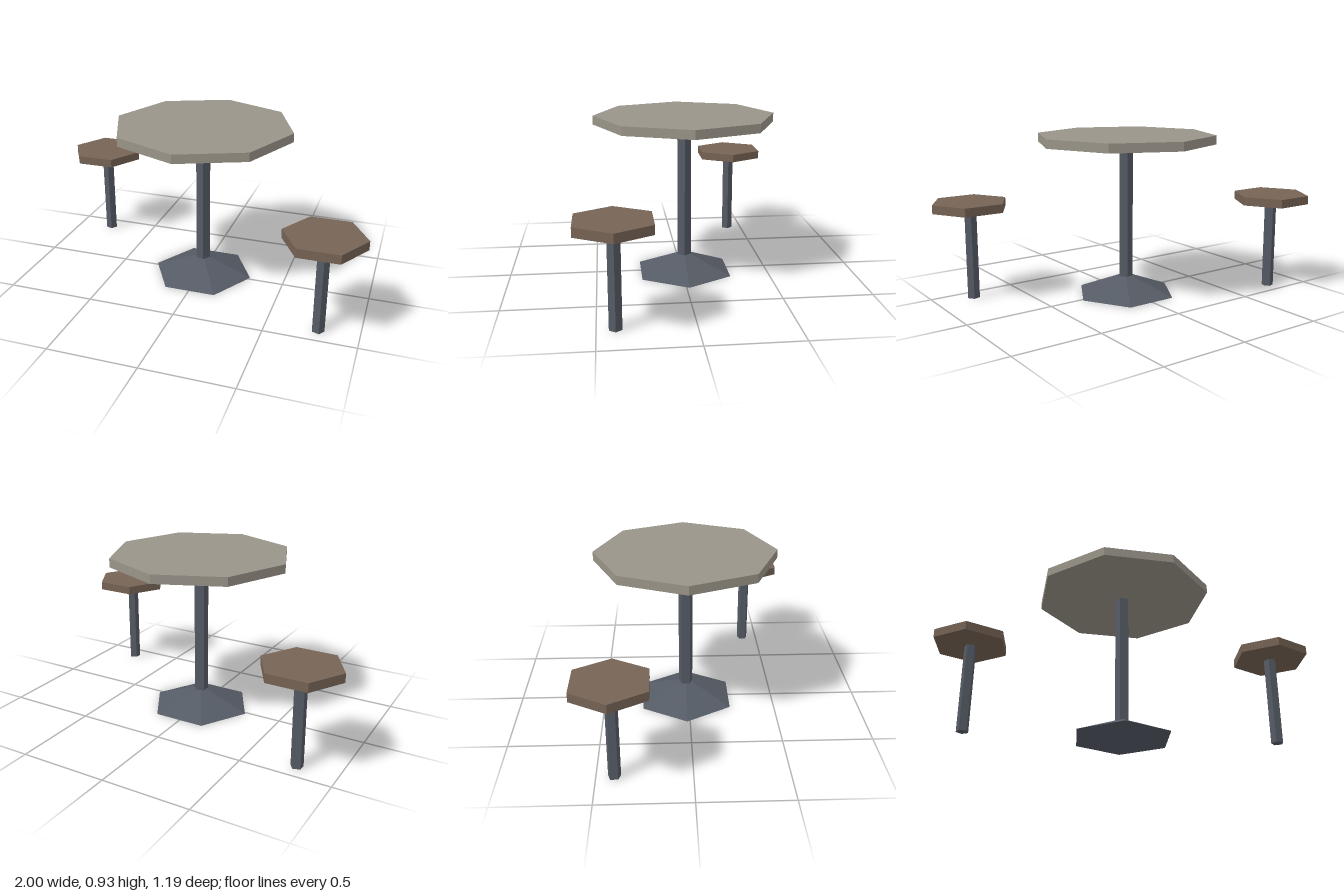
import * as THREE from 'three';

export function createModel() {
  const model = new THREE.Group();
  model.name = 'tableWithStools';

  const material = (name, color) => {
    const m = new THREE.MeshStandardMaterial({ color, flatShading: true });
    m.name = name;
    return m;
  };
  const stone = material('warm grey top', 0x9a9488);
  const wood = material('brown wood', 0x766354);
  const metal = material('dark metal', 0x555b65);

  // Upright prism from y0 to y1 with one corner pointing to +x
  const prism = (parent, name, mat, sides, rTop, rBottom, y0, y1) => {
    const geometry = new THREE.CylinderGeometry(rTop, rBottom, y1 - y0, sides, 1, false, Math.PI / 2);
    const mesh = new THREE.Mesh(geometry, mat);
    mesh.name = name;
    mesh.position.y = (y0 + y1) / 2;
    parent.add(mesh);
  };

  // Table: octagonal top, five-sided column, six-sided flared foot
  const table = new THREE.Group();
  table.name = 'table';
  table.position.set(0.005, 0, -0.016);
  prism(table, 'tableTop', stone, 8, 0.513, 0.513, 0.88, 0.93);
  prism(table, 'tableColumn', metal, 5, 0.042, 0.042, 0.09, 0.88);
  prism(table, 'tableFoot', metal, 6, 0.044, 0.295, 0, 0.1);
  model.add(table);

  // Two stools on opposite corners
  for (const [name, side] of [['leftStool', 1], ['rightStool', -1]]) {
    const stool = new THREE.Group();
    stool.name = name;
    stool.position.set(0.78 * side, 0, 0.405 * side);
    prism(stool, 'seat', wood, 6, 0.22, 0.22, 0.515, 0.564);
    prism(stool, 'stoolLeg', metal, 5, 0.035, 0.035, 0, 0.515);
    model.add(stool);
  }

  return model;
}
